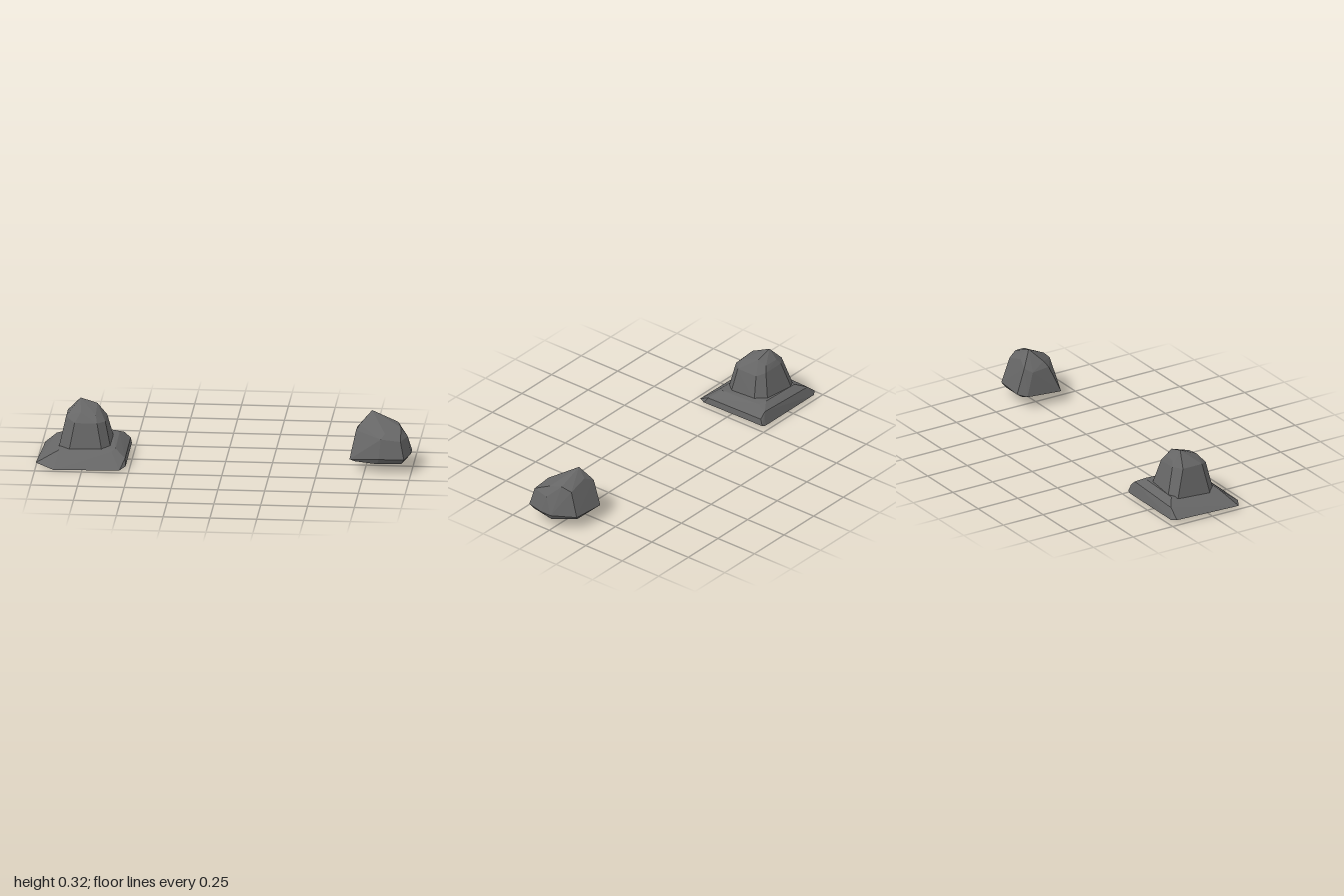
import * as THREE from 'three';
import { ConvexGeometry } from 'three/addons/geometries/ConvexGeometry.js';

// Faceted stone: the hull around a few rings of corner points
function stone(name, material, ...rings) {
  const points = rings.flat().map(([x, y, z]) => new THREE.Vector3(x, y, z));
  const mesh = new THREE.Mesh(new ConvexGeometry(points), material);
  mesh.name = name;
  return mesh;
}

export function createModel() {
  const rock = new THREE.MeshStandardMaterial({ color: 0x666666, flatShading: true });
  rock.name = 'grey rock';
  const model = new THREE.Group();
  model.name = 'rocks';

  const outcrop = new THREE.Group();
  outcrop.name = 'outcrop';
  outcrop.add(
    // Wide sloping foot
    stone('outcropBase', rock,
      [[-1, 0.02, 0.166], [-0.9, 0, 0.225], [-0.55, 0.006, 0.225], [-0.52, 0.015, 0.176],
        [-0.52, 0.02, -0.225], [-0.54, 0.015, -0.23], [-0.95, 0.015, -0.23], [-0.98, 0.02, -0.21]],
      [[-0.525, 0.05, 0.15], [-0.525, 0.055, -0.21], [-0.56, 0.085, -0.21], [-0.92, 0.07, -0.21]],
      [[-0.88, 0.08, 0.12], [-0.6, 0.08, 0.13], [-0.58, 0.09, 0.1],
        [-0.58, 0.1, -0.15], [-0.62, 0.108, -0.17], [-0.86, 0.1, -0.17]]),
    // Tall knob on the foot
    stone('outcropKnob', rock,
      [[-0.89, 0.06, 0.06], [-0.83, 0.06, 0.115], [-0.65, 0.06, 0.115], [-0.605, 0.06, 0.065],
        [-0.605, 0.09, -0.1], [-0.65, 0.1, -0.155], [-0.83, 0.1, -0.17], [-0.88, 0.09, -0.14]],
      [[-0.85, 0.24, 0.03], [-0.8, 0.22, 0.085], [-0.68, 0.22, 0.085], [-0.64, 0.22, 0.04],
        [-0.64, 0.22, -0.085], [-0.68, 0.235, -0.12], [-0.8, 0.24, -0.125], [-0.85, 0.24, -0.09]],
      [[-0.78, 0.317, -0.063], [-0.69, 0.29, -0.06], [-0.7, 0.265, -0.105], [-0.78, 0.268, -0.11],
        [-0.69, 0.255, 0.05], [-0.77, 0.268, 0.045]]));

  // Lone boulder on the other side
  const boulder = stone('boulder', rock,
    [[0.70, 0.055, 0.11], [0.82, 0.053, 0.145], [0.95, 0.058, 0.145], [0.98, 0.06, 0.0],
      [0.89, 0.055, -0.1], [0.73, 0.06, -0.1]],
    [[0.67, 0.065, 0.11], [0.83, 0.085, 0.165], [0.965, 0.085, 0.165], [0.995, 0.09, 0.065],
      [0.995, 0.09, -0.005], [0.91, 0.08, -0.115], [0.73, 0.08, -0.13], [0.69, 0.07, -0.09]],
    [[0.70, 0.21, 0.05], [0.84, 0.19, 0.145], [0.945, 0.18, 0.145], [0.975, 0.18, 0.04],
      [0.90, 0.215, -0.07], [0.73, 0.22, -0.085], [0.70, 0.2, -0.05]],
    [[0.78, 0.3, -0.025], [0.79, 0.25, -0.07], [0.72, 0.24, 0.03], [0.86, 0.215, 0.12],
      [0.94, 0.23, 0.045], [0.92, 0.24, -0.02]]);

  model.add(outcrop, boulder);
  return model;
}
